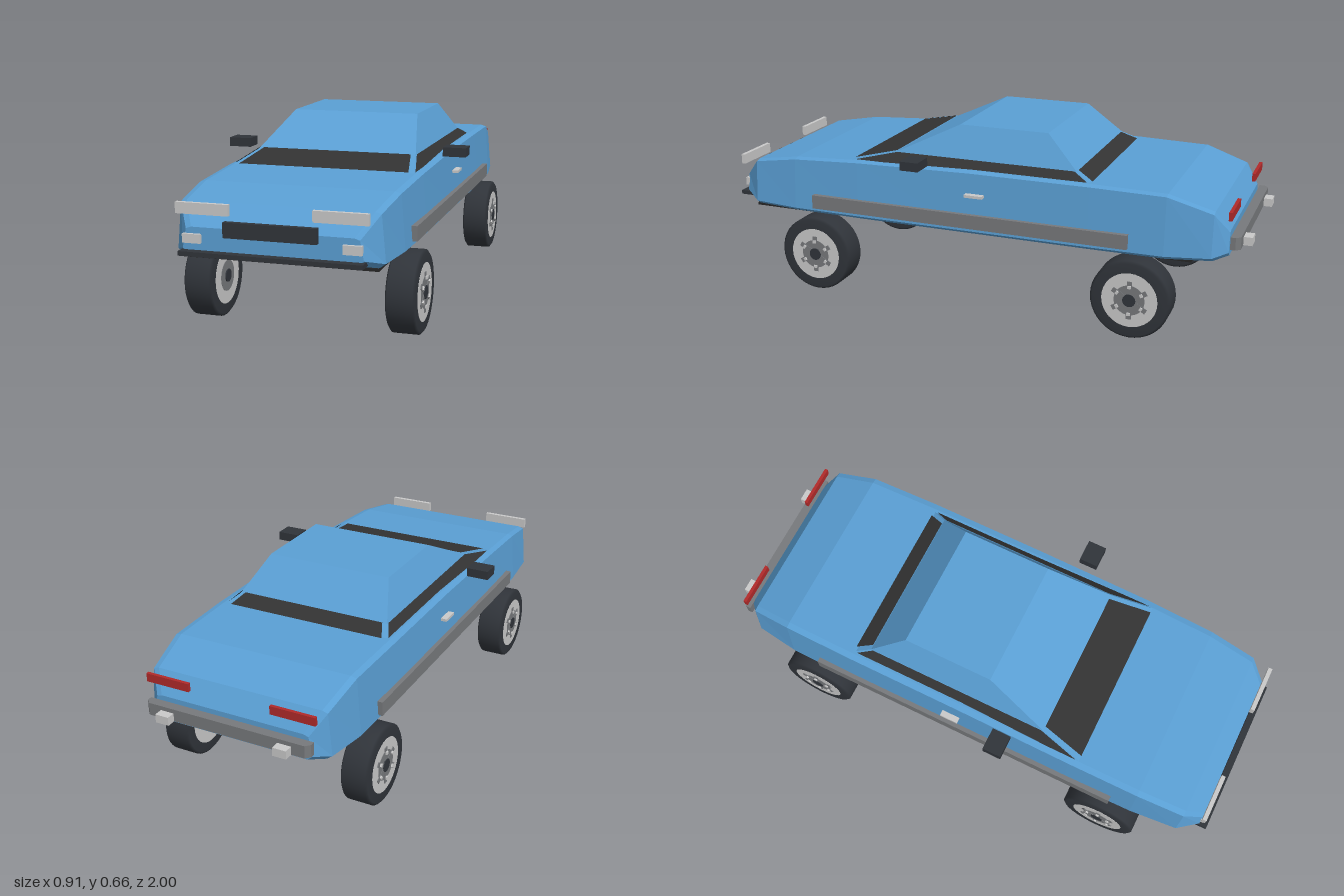
import * as THREE from 'three';

const mat = (name, color, extra = {}) => {
  const m = new THREE.MeshStandardMaterial({ color, ...extra });
  m.name = name;
  return m;
};

export function createModel() {
  const paint = mat('bluePaint', 0x5a9fd4, { flatShading: true });
  const glass = mat('darkGlass', 0x333333, { side: THREE.DoubleSide });
  const rubber = mat('rubber', 0x30343a);
  const under = mat('underside', 0x262626);
  const trim = mat('greyTrim', 0x77797c);
  const light = mat('paleGrey', 0xc9c9c9);
  const red = mat('tailRed', 0xb02a2a);

  const car = new THREE.Group();
  car.name = 'car';
  const add = (name, geo, material, x = 0, y = 0, z = 0, parent = car) => {
    const m = new THREE.Mesh(geo, material);
    m.name = name;
    m.position.set(x, y, z);
    parent.add(m);
    return m;
  };
  const box = (name, material, w, h, d, x, y, z, parent) =>
    add(name, new THREE.BoxGeometry(w, h, d), material, x, y, z, parent);

  // Joins rings of points into a closed skin with end caps
  const loft = (rings) => {
    const n = rings[0].length, pos = rings.flat(2), idx = [];
    for (let r = 0; r < rings.length - 1; r++)
      for (let i = 0; i < n; i++) {
        const a = r * n + i, b = r * n + (i + 1) % n;
        idx.push(a, b, b + n, a, b + n, a + n);
      }
    const last = (rings.length - 1) * n;
    for (let i = 1; i < n - 1; i++) {
      idx.push(0, i + 1, i);
      idx.push(last, last + i, last + i + 1);
    }
    const g = new THREE.BufferGeometry();
    g.setAttribute('position', new THREE.Float32BufferAttribute(pos, 3));
    g.setIndex(idx);
    const flat = g.toNonIndexed();
    flat.computeVertexNormals();
    return flat;
  };

  // Body shell, rear to front: z, bottom y, top y, half width
  const sections = [
    [-0.93, 0.31, 0.40, 0.30], [-0.88, 0.297, 0.47, 0.345], [-0.72, 0.29, 0.52, 0.365],
    [-0.45, 0.29, 0.525, 0.37], [0, 0.29, 0.525, 0.37], [0.45, 0.29, 0.515, 0.37],
    [0.72, 0.29, 0.50, 0.365], [0.90, 0.293, 0.47, 0.35], [0.97, 0.315, 0.40, 0.30],
  ];
  add('body', loft(sections.map(([z, b, t, w]) => {
    const half = [[0.94 * w, b], [w, b + 0.015], [0.96 * w, t - 0.006], [0.9 * w, t]];
    const other = half.map(([x, y]) => [-x, y]).reverse();
    return [...half, ...other].map(([x, y]) => [x, y, z]);
  })), paint);
  box('underside', under, 0.66, 0.01, 1.72, 0, 0.289, 0.05);

  // Cabin in three levels
  const level = (w, y, front, back) => [[w, y, front], [w, y, back], [-w, y, back], [-w, y, front]];
  const base = level(0.33, 0.515, 0.48, -0.46);
  const belt = level(0.295, 0.55, 0.32, -0.385);
  const roof = level(0.24, 0.665, 0.08, -0.26);
  add('cabin', loft([base, belt, roof]), paint);

  // Windows as thin faces just proud of the lower cabin band
  const names = ['leftWindow', 'rearWindow', 'rightWindow', 'windscreen'];
  names.forEach((name, i) => {
    const [a, b, c, d] = [base[i], base[(i + 1) % 4], belt[(i + 1) % 4], belt[i]]
      .map((p) => new THREE.Vector3(...p));
    const normal = b.clone().sub(a).cross(d.clone().sub(a)).normalize().multiplyScalar(0.003);
    const inset = i % 2 ? 0.03 : 0.012;
    const corners = [
      a.clone().lerp(b, inset), b.clone().lerp(a, inset),
      c.clone().lerp(d, inset), d.clone().lerp(c, inset),
    ].map((p) => p.add(normal));
    const g = new THREE.BufferGeometry().setFromPoints(corners);
    g.setIndex([0, 1, 2, 0, 2, 3]);
    g.computeVertexNormals();
    add(name, g, glass);
  });

  // Nose
  box('grille', rubber, 0.31, 0.05, 0.02, 0, 0.4, 0.978);
  box('frontLip', rubber, 0.61, 0.015, 0.06, 0, 0.318, 0.97);

  // Tail bumper with bevelled ends
  const bar = new THREE.Shape([
    [-0.31, 0], [0.31, 0], [0.31, 0.018], [0.295, 0.034], [-0.295, 0.034], [-0.31, 0.018],
  ].map(([x, y]) => new THREE.Vector2(x, y)));
  const barGeo = new THREE.ExtrudeGeometry(bar, { depth: 0.045, bevelEnabled: false });
  barGeo.rotateX(-Math.PI / 2).translate(0, 0.34, -0.935);
  add('rearBumper', barGeo, trim);

  // Wheel, facing outward along +x
  const tyreProfile = [[0.09, -0.05], [0.134, -0.05], [0.143, -0.043], [0.143, 0.043], [0.134, 0.05], [0.09, 0.05]]
    .map(([x, y]) => new THREE.Vector2(x, y));
  const tyreGeo = new THREE.LatheGeometry(tyreProfile, 40).rotateZ(-Math.PI / 2);
  const disc = (r, w) => new THREE.CylinderGeometry(r, r, w, 32).rotateZ(-Math.PI / 2);
  const makeWheel = (name, side, z) => {
    const w = new THREE.Group();
    w.name = name;
    w.position.set(side * 0.355, 0.144, z);
    if (side < 0) w.rotation.y = Math.PI;
    add('tyre', tyreGeo, rubber, 0, 0, 0, w);
    add('rim', disc(0.1, 0.101), light, 0, 0, 0, w);
    add('rimCentre', disc(0.055, 0.104), trim, 0, 0, 0, w);
    add('hub', disc(0.023, 0.112), rubber, 0, 0, 0, w);
    for (let i = 0; i < 6; i++) {
      const arm = new THREE.Group();
      arm.name = 'spoke';
      arm.rotation.x = (i * Math.PI) / 3;
      box('spokeArm', trim, 0.005, 0.05, 0.018, 0.051, 0.045, 0, arm);
      box('spokeNut', light, 0.01, 0.01, 0.012, 0.054, 0.05, 0, arm);
      w.add(arm);
    }
    car.add(w);
  };

  // Mirrored parts
  for (const [side, s] of [['left', 1], ['right', -1]]) {
    box(side + 'Headlight', light, 0.18, 0.037, 0.015, s * 0.229, 0.461, 0.972);
    box(side + 'FogLight', light, 0.062, 0.03, 0.015, s * 0.266, 0.364, 0.974);
    box(side + 'TailLight', red, 0.165, 0.03, 0.012, s * 0.236, 0.46, -0.932);
    box(side + 'BumperGuard', light, 0.05, 0.03, 0.045, s * 0.222, 0.355, -0.978);
    box(side + 'Mirror', rubber, 0.084, 0.033, 0.07, s * 0.413, 0.551, 0.19);
    box(side + 'SideTrim', trim, 0.03, 0.052, 1.23, s * 0.367, 0.344, 0.02);
    box(side + 'DoorHandle', light, 0.025, 0.01, 0.07, s * 0.37, 0.441, -0.025);
    makeWheel(side + 'FrontWheel', s, 0.618);
    makeWheel(side + 'RearWheel', s, -0.617);
  }
  return car;
}
